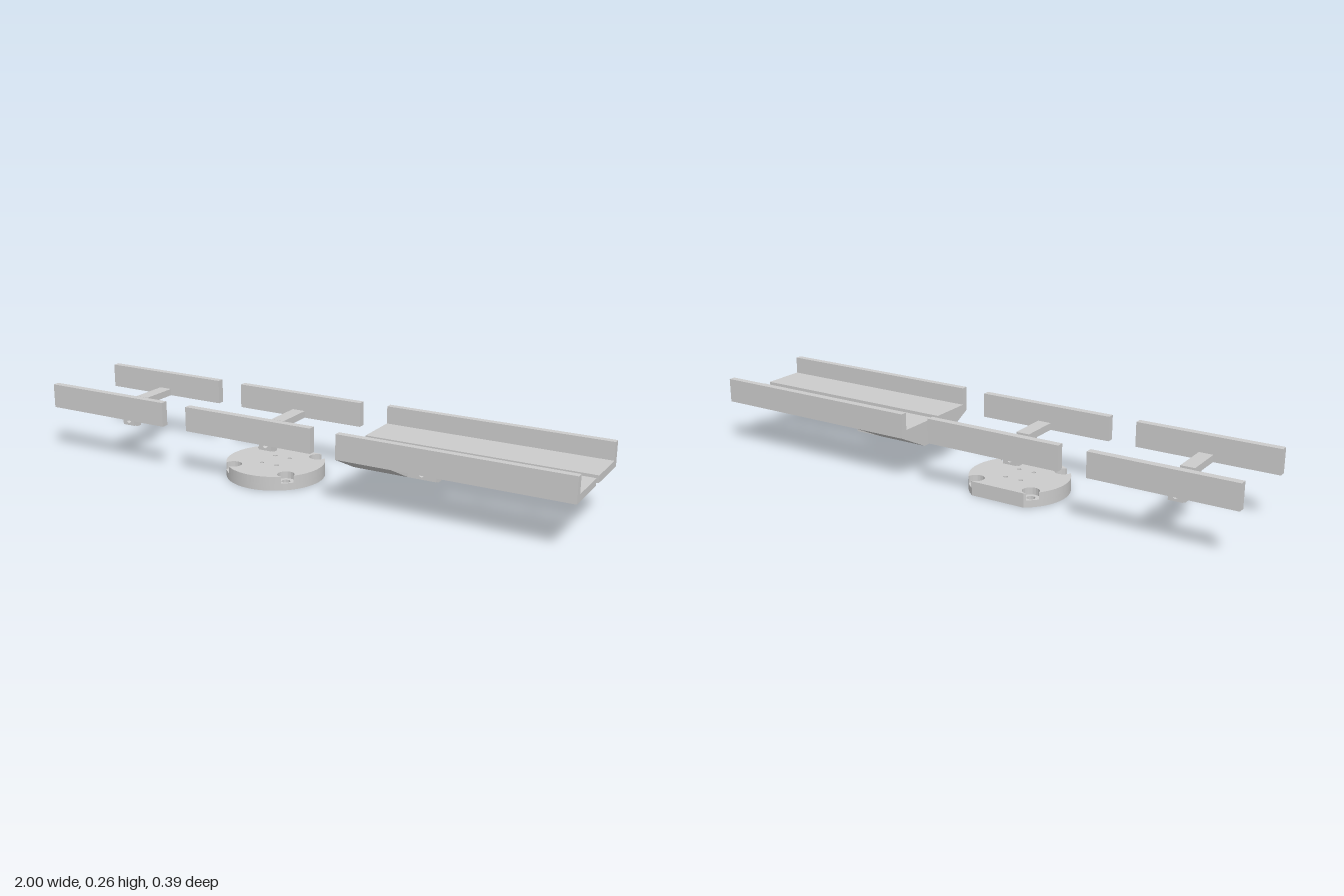
import * as THREE from 'three';
import { toCreasedNormals } from 'three/addons/utils/BufferGeometryUtils.js';

const material = new THREE.MeshStandardMaterial({ color: 0xcccccc });

function add(parent, name, geometry) {
  const mesh = new THREE.Mesh(toCreasedNormals(geometry, 0.5), material);
  mesh.name = name;
  parent.add(mesh);
  return mesh;
}

function extrude(shape, depth) {
  return new THREE.ExtrudeGeometry(shape, { depth, bevelEnabled: false, curveSegments: 32 });
}

function hole(shape, x, y, r) {
  shape.holes.push(new THREE.Path().absarc(x, y, r, 0, Math.PI * 2, true));
}

// Prism along x from a [z, y] profile; side mirrors it front (1) or back (-1)
function prism(parent, name, profile, side, x0, x1) {
  const shape = new THREE.Shape(profile.map(([z, y]) => new THREE.Vector2(-side * z, y)));
  add(parent, name, extrude(shape, x1 - x0).rotateY(Math.PI / 2).translate(x0, 0, 0));
}

const rect = (z0, z1, y0, y1) => [[z0, y0], [z1, y0], [z1, y1], [z0, y1]];

// Mounting post with two bolt holes through it and a locating key below
function post(parent, side, x0, x1, holeX) {
  const shape = new THREE.Shape();
  shape.moveTo(x0, 0.107).lineTo(x1, 0.107).lineTo(x1, 0.17).lineTo(x0, 0.17).closePath();
  for (const y of [0.125, 0.147]) hole(shape, holeX, y, 0.01);
  add(parent, 'post', extrude(shape, 0.055).translate(0, 0, side > 0 ? 0.014 : -0.069));
  prism(parent, 'locatingKey', rect(0.029, 0.049, 0.101, 0.107), side, x0, x1);
}

// Narrow jaw: long upright rail on an arm and post
function railJaw(side, x) {
  const jaw = new THREE.Group();
  jaw.name = 'railJaw';
  prism(jaw, 'rail', rect(0.161, 0.187, 0.17, 0.257), side, x - 0.25, x + 0.25);
  prism(jaw, 'arm', rect(0.014, 0.161, 0.17, 0.195), side, x - 0.025, x + 0.025);
  // sloping brace below the arm is absent on these jaws; the post alone carries it
  post(jaw, side, x - 0.025, x + 0.025, x);
  return jaw;
}

// Wide jaw: L-shaped tray with a wedge brace at its inner end
function trayJaw(side) {
  const jaw = new THREE.Group();
  jaw.name = 'trayJaw';
  const tray = [[0.014, 0.17], [0.197, 0.17], [0.197, 0.257], [0.173, 0.257], [0.173, 0.195], [0.014, 0.195]];
  prism(jaw, 'tray', tray, side, 0.2, 1);
  prism(jaw, 'wedgeBrace', [[0.014, 0.107], [0.069, 0.107], [0.197, 0.17], [0.014, 0.17]], side, 0.2, 0.4);
  post(jaw, side, 0.4, 0.5, 0.447);
  return jaw;
}

// Round base with a flat at the back, optionally with bites for the screw heads
const R = 0.175, D = 0.153, BITE = 0.03;
function discOutline(bites) {
  const shape = new THREE.Shape();
  const flat = Math.asin(0.143 / R);
  const along = (R * R + D * D - BITE * BITE) / (2 * D);
  const across = Math.sqrt(R * R - along * along);
  const beta = Math.atan2(across, along), gamma = Math.atan2(across, along - D);
  let angle = Math.PI - flat;
  if (bites) {
    for (let i = 0; i < 4; i++) {
      const t = Math.PI * (0.75 + i / 2);
      shape.absarc(0, 0, R, angle, t - beta, false);
      shape.absarc(D * Math.cos(t), D * Math.sin(t), BITE, t - gamma, t + gamma, true);
      angle = t + beta;
    }
  }
  shape.absarc(0, 0, R, angle, Math.PI * 2 + flat, false);
  shape.closePath();
  return shape;
}

function baseDisc() {
  const disc = new THREE.Group();
  disc.name = 'baseDisc';
  const lower = discOutline(false), upper = discOutline(true);
  for (const sx of [-1, 1]) {
    for (const sy of [-1, 1]) {
      hole(lower, sx * 0.108, sy * 0.108, 0.015); // rim screws
      hole(lower, sx * 0.03, sy * 0.044, 0.019); // counterbores from below
      hole(upper, sx * 0.03, sy * 0.044, 0.008);
    }
  }
  add(disc, 'lowerDisc', extrude(lower, 0.025).rotateX(-Math.PI / 2));
  add(disc, 'upperDisc', extrude(upper, 0.025).rotateX(-Math.PI / 2).translate(0, 0.025, 0));
  disc.position.x = -0.15;
  return disc;
}

export function createModel() {
  const model = new THREE.Group();
  model.name = 'gripperJawSet';
  const jaws = new THREE.Group();
  jaws.name = 'jaws';
  for (const side of [-1, 1]) {
    jaws.add(railJaw(side, -0.75), railJaw(side, -0.15), trayJaw(side));
  }
  jaws.position.z = 0.001;
  model.add(jaws, baseDisc());
  return model;
}
